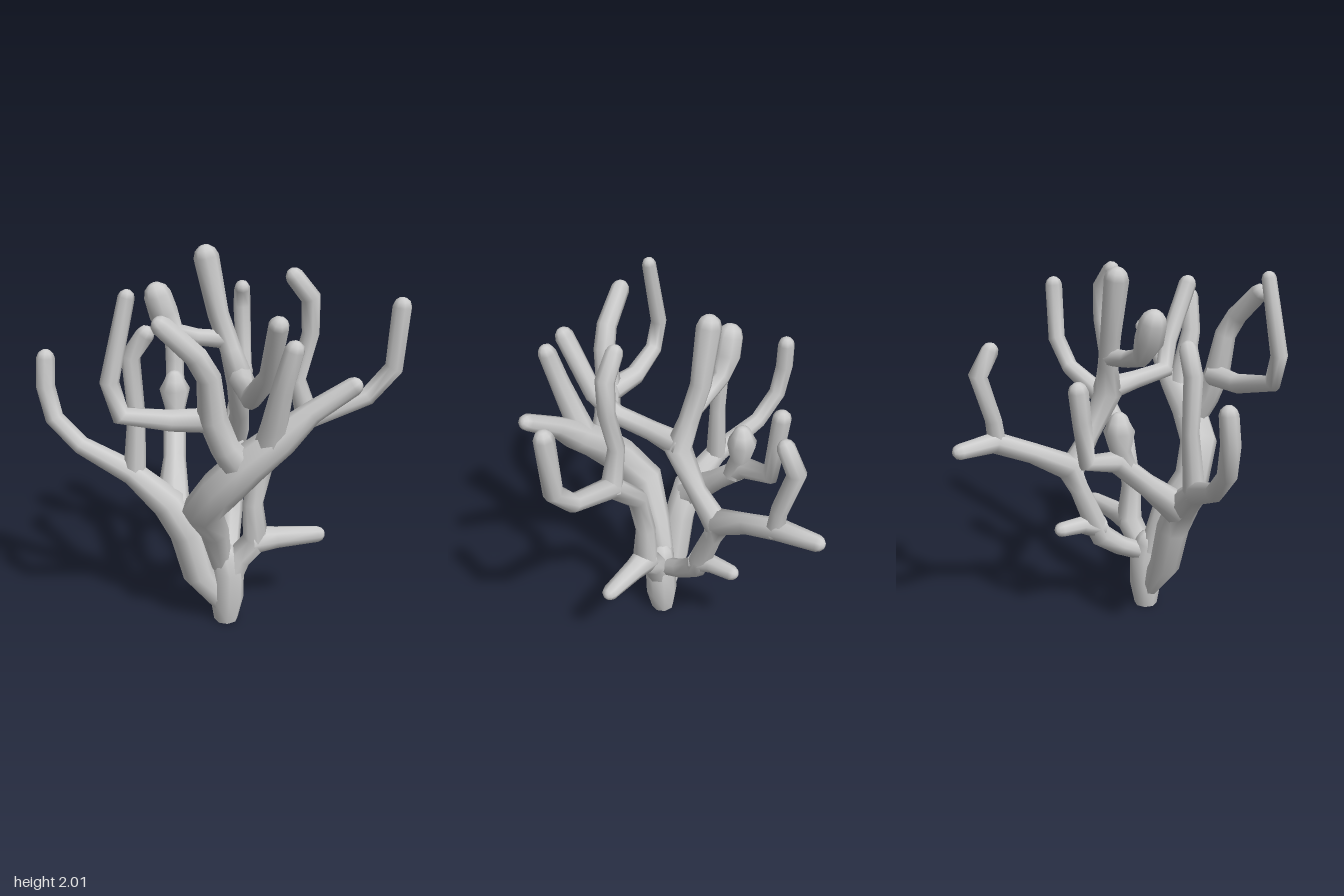
import * as THREE from 'three';

const SIDES = 8;

// Sweeps a ring along stations [x, y, z, radius]; the far end gets a rounded tip.
function limbGeometry(stations, flatStart) {
  const pts = stations.map(s => new THREE.Vector3(s[0], s[1], s[2]));
  const radii = stations.map(s => s[3]);
  const n = pts.length;
  const dir = i => pts[i + 1].clone().sub(pts[i]).normalize();
  const tangents = pts.map((p, i) => {
    if (i === 0) return flatStart ? new THREE.Vector3(0, 1, 0) : dir(0);
    if (i === n - 1) return dir(n - 2);
    return dir(i - 1).add(dir(i)).normalize();
  });

  // Tip: two shrinking rings just past the last station
  const end = tangents[n - 1], r = radii[n - 1], last = pts[n - 1];
  for (const [along, scale] of [[0.55, 0.78], [0.85, 0.4]]) {
    pts.push(last.clone().addScaledVector(end, r * along));
    radii.push(r * scale);
    tangents.push(end);
  }

  const positions = [], index = [];
  const side = new THREE.Vector3(1, 0, 0);
  if (Math.abs(tangents[0].x) > 0.8) side.set(0, 0, 1);
  pts.forEach((p, i) => {
    const t = tangents[i];
    if (i > 0) side.applyQuaternion(new THREE.Quaternion().setFromUnitVectors(tangents[i - 1], t));
    side.addScaledVector(t, -side.dot(t)).normalize();
    const up = new THREE.Vector3().crossVectors(t, side);
    for (let k = 0; k < SIDES; k++) {
      const a = k / SIDES * Math.PI * 2;
      const v = p.clone().addScaledVector(side, Math.cos(a) * radii[i]).addScaledVector(up, Math.sin(a) * radii[i]);
      positions.push(v.x, v.y, v.z);
    }
  });
  for (let i = 0; i < pts.length - 1; i++) {
    for (let k = 0; k < SIDES; k++) {
      const a = i * SIDES + k, b = i * SIDES + (k + 1) % SIDES;
      index.push(a, b, a + SIDES, b, b + SIDES, a + SIDES);
    }
  }
  const top = last.clone().addScaledVector(end, r * 0.95);
  const apex = positions.length / 3, ring = (pts.length - 1) * SIDES;
  positions.push(top.x, top.y, top.z);
  for (let k = 0; k < SIDES; k++) index.push(ring + k, ring + (k + 1) % SIDES, apex);

  const g = new THREE.BufferGeometry();
  g.setAttribute('position', new THREE.Float32BufferAttribute(positions, 3));
  g.setIndex(index);
  g.computeVertexNormals();
  return g;
}

const LIMBS = {
  trunk: [[0.01, 0, 0.28, 0.065], [0.015, 0.13, 0.28, 0.09], [0.02, 0.3, 0.28, 0.088], [0, 0.4, 0.28, 0.07]],

  // Limb on the model's left, lying in one plane
  leftLimb: [[0.03, 0.27, 0.28, 0.075], [0.08, 0.38, 0.28, 0.07], [0.17, 0.48, 0.28, 0.075], [0.15, 0.7, 0.28, 0.055],
    [0.21, 0.95, 0.28, 0.055], [0.42, 1.165, 0.28, 0.06], [0.73, 1.27, 0.28, 0.048], [0.86, 1.42, 0.28, 0.05], [0.88, 1.74, 0.28, 0.05]],
  leftStub: [[0.15, 0.48, 0.28, 0.08], [0.28, 0.485, 0.28, 0.06], [0.5, 0.49, 0.28, 0.045]],
  leftUpperTwig: [[0.43, 1.15, 0.28, 0.06], [0.365, 1.38, 0.28, 0.045], [0.425, 1.62, 0.28, 0.045], [0.42, 1.8, 0.28, 0.05], [0.335, 1.91, 0.28, 0.045]],

  // Limb on the model's right, sweeping back
  rightLimb: [[0, 0.08, 0.28, 0.05], [-0.14, 0.3, 0.29, 0.085], [-0.2, 0.55, 0.29, 0.09], [-0.29, 0.72, 0.28, 0.09],
    [-0.47, 0.87, 0.2, 0.065], [-0.73, 0.99, 0.08, 0.05], [-0.86, 1.13, 0.03, 0.05], [-0.895, 1.3, 0.01, 0.05], [-0.885, 1.45, 0, 0.048]],
  rightUpperTwig: [[-0.46, 0.85, 0.2, 0.06], [-0.44, 1.2, 0.18, 0.045], [-0.46, 1.5, 0.17, 0.05], [-0.385, 1.62, 0.2, 0.048]],
  rightBackLimb: [[-0.27, 0.7, 0.26, 0.09], [-0.24, 0.88, 0.06, 0.06], [-0.22, 1.05, -0.13, 0.06],
    [-0.2, 1.08, -0.3, 0.05], [-0.2, 1.3, -0.33, 0.05], [-0.2, 1.46, -0.35, 0.052]],
  rightBackBulb: [[-0.22, 0.98, -0.06, 0.06], [-0.22, 1.1, -0.1, 0.055], [-0.22, 1.21, -0.11, 0.082], [-0.22, 1.26, -0.11, 0.055]],

  // Back limb and its forks
  backLimb: [[0.02, 0.33, 0.26, 0.05], [0.05, 0.4, 0.12, 0.055], [0.07, 0.49, 0, 0.065], [0.08, 0.58, -0.04, 0.065], [0.1, 0.8, -0.13, 0.055],
    [0.12, 0.93, -0.18, 0.075], [0.17, 1.04, -0.38, 0.055], [0.22, 1.13, -0.58, 0.058], [0.21, 1.13, -0.79, 0.043]],
  backStub: [[0.07, 0.54, 0, 0.065], [0.09, 0.58, -0.12, 0.05], [0.1, 0.585, -0.25, 0.042]],
  backTwig: [[0.22, 1.1, -0.56, 0.05], [0.22, 1.25, -0.58, 0.045], [0.22, 1.5, -0.66, 0.05], [0.21, 1.62, -0.59, 0.045]],
  middleLimb: [[0.12, 0.9, -0.17, 0.07], [0.12, 1.08, -0.04, 0.052], [0.11, 1.3, 0.08, 0.075], [0.06, 1.47, 0.04, 0.055],
    [0, 1.65, 0.01, 0.055], [-0.06, 1.95, 0, 0.065]],
  middleBulb: [[0.04, 1.52, 0.03, 0.05], [-0.11, 1.54, 0.03, 0.045], [-0.22, 1.57, 0.03, 0.05], [-0.28, 1.67, 0.03, 0.075], [-0.31, 1.77, 0.03, 0.07]],
  middleFrontTwig: [[0.11, 1.32, 0.06, 0.07], [0.1, 1.34, 0.25, 0.053], [0.1, 1.36, 0.47, 0.053], [0.17, 1.5, 0.56, 0.05], [0.185, 1.8, 0.71, 0.05]],

  // Heavy front limb and its forks
  frontLimb: [[-0.02, 0.35, 0.28, 0.06], [-0.06, 0.58, 0.35, 0.075], [-0.14, 0.78, 0.48, 0.1], [-0.06, 0.95, 0.6, 0.105],
    [0.07, 1.1, 0.64, 0.1], [0.22, 1.23, 0.66, 0.085], [0.36, 1.36, 0.67, 0.055], [0.55, 1.49, 0.69, 0.045]],
  frontUpperTwig: [[0.16, 1.17, 0.65, 0.08], [0.18, 1.32, 0.69, 0.065], [0.2, 1.52, 0.76, 0.053], [0.245, 1.71, 0.785, 0.048]],
  frontRightLimb: [[0.04, 1.06, 0.62, 0.09], [-0.05, 1.2, 0.66, 0.07], [-0.11, 1.36, 0.68, 0.07], [-0.13, 1.57, 0.71, 0.058],
    [-0.19, 1.68, 0.73, 0.055], [-0.34, 1.83, 0.74, 0.05]],
  frontRightTwig: [[-0.1, 1.34, 0.66, 0.065], [-0.3, 1.34, 0.64, 0.055], [-0.53, 1.39, 0.67, 0.048], [-0.575, 1.55, 0.66, 0.045], [-0.485, 1.94, 0.65, 0.038]],
};

export function createModel() {
  const group = new THREE.Group();
  group.name = 'branchingCoral';
  const material = new THREE.MeshStandardMaterial({ color: 0xcccccc });
  for (const [name, stations] of Object.entries(LIMBS)) {
    const mesh = new THREE.Mesh(limbGeometry(stations, name === 'trunk'), material);
    mesh.name = name;
    group.add(mesh);
  }
  // Flat underside of the trunk
  const base = new THREE.Mesh(new THREE.CircleGeometry(0.065, SIDES).rotateX(Math.PI / 2), material);
  base.name = 'trunkBase';
  base.position.set(0.01, 0, 0.28);
  group.add(base);
  return group;
}
